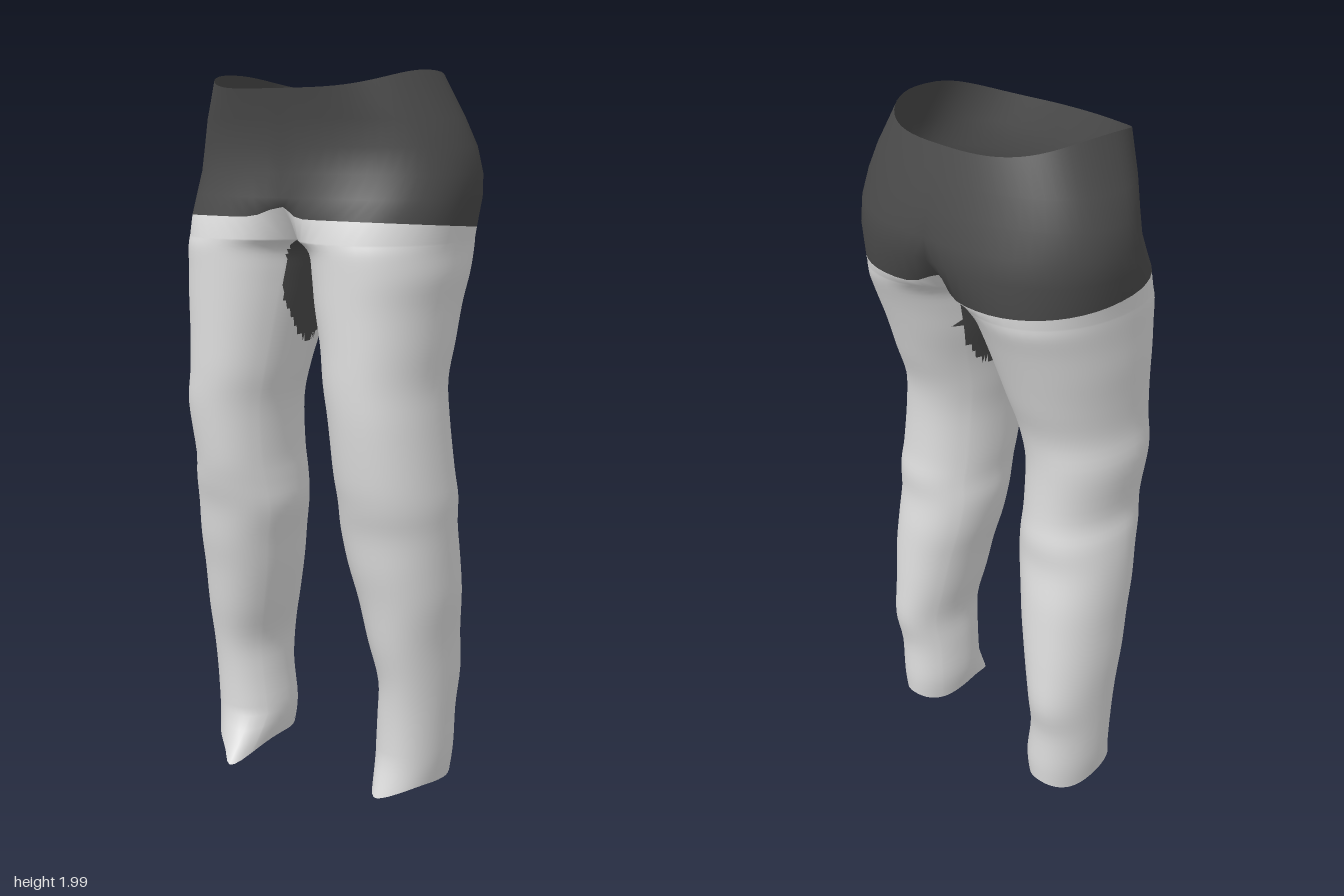
import * as THREE from 'three';
import { mergeVertices } from 'three/addons/utils/BufferGeometryUtils.js';

// Leg sections: y, then inner and outer x of the left leg, of the right leg, then front and back z
const LEG = [
  [0.055, 0.2, 0.37, 0.19, 0.375, 0.14, -0.135],
  [0.13, 0.19, 0.38, 0.18, 0.385, 0.13, -0.14],
  [0.25, 0.195, 0.385, 0.195, 0.39, 0.13, -0.14],
  [0.36, 0.2, 0.39, 0.2, 0.395, 0.14, -0.16],
  [0.48, 0.175, 0.395, 0.17, 0.4, 0.165, -0.155],
  [0.6, 0.15, 0.408, 0.14, 0.4, 0.185, -0.145],
  [0.7, 0.125, 0.41, 0.12, 0.4, 0.205, -0.135],
  [0.8, 0.11, 0.41, 0.097, 0.395, 0.22, -0.12],
  [0.88, 0.112, 0.412, 0.1, 0.385, 0.24, -0.12],
  [0.96, 0.107, 0.405, 0.105, 0.37, 0.255, -0.11],
  [1.1, 0.1, 0.39, 0.1, 0.385, 0.27, -0.105],
  [1.2, 0.085, 0.38, 0.08, 0.375, 0.275, -0.115],
  [1.3, 0.07, 0.385, 0.06, 0.38, 0.275, -0.15],
  [1.4, 0.045, 0.39, 0.04, 0.39, 0.275, -0.185],
  [1.48, 0.03, 0.4, 0.025, 0.395, 0.275, -0.215],
  [1.54, 0.015, 0.4, 0.01, 0.4, 0.275, -0.24],
];
const ROUND = 0.93; // squareness of the sections: 1 is an ellipse, less is boxier
// Hip sections: y, inner x (past the middle, cut off at x = 0), outer x, front z, back z, squareness
const HIP = [
  [1.57, -0.03, 0.402, 0.273, -0.25, ROUND],
  [1.61, -0.1, 0.407, 0.27, -0.262, ROUND],
  [1.68, -0.23, 0.42, 0.25, -0.28, ROUND],
  [1.74, -0.33, 0.422, 0.228, -0.278, ROUND],
  [1.81, -0.412, 0.412, 0.226, -0.262, ROUND],
  [1.88, -0.38, 0.38, 0.236, -0.24, 0.88],
  [1.955, -0.32, 0.32, 0.255, -0.21, 0.82],
];
const STEPS = 4;
const CROTCH = LEG.length * STEPS, WAIST = CROTCH + HIP.length - 1;
const round = (v) => Math.round(v * 1e5) / 1e5;

// Smooth curve from q to r, with neighbours p and s
function smooth(p, q, r, s, t) {
  const a = r - p;
  const b = 2 * p - 5 * q + 4 * r - s;
  const c = 3 * (q - r) + s - p;
  return q + 0.5 * t * (a + t * (b + t * c));
}

// Sections of one side, with the leg ones smoothly filled in between
function sideRows(side) {
  const leg = LEG.map(([y, li, lo, ri, ro, f, b]) =>
    (side > 0 ? [y, li, lo, f, b, ROUND] : [y, ri, ro, f, b, ROUND]));
  const keys = [...leg, HIP[0]];
  const rows = [];
  for (let i = 0; i < leg.length; i++) {
    const p = keys[Math.max(0, i - 1)], q = keys[i], r = keys[i + 1];
    const s = keys[Math.min(keys.length - 1, i + 2)];
    for (let n = 0; n < STEPS; n++) {
      rows.push(q.map((v, j) => smooth(p[j], v, r[j], s[j], n / STEPS)));
    }
  }
  return rows.concat(HIP);
}

// Angle at which a section meets the middle plane
function cutAngle([, inner, outer, , , power]) {
  const c = Math.max(0, (inner + outer) / (outer - inner));
  return Math.acos(c ** (1 / power));
}

function sectionPoint(rows, i, a, side) {
  const [y0, inner, outer, front, back, power] = rows[i];
  const spow = (v) => Math.sign(v) * Math.abs(v) ** power;
  const x = Math.max(0, (inner + outer) / 2 - ((outer - inner) / 2) * spow(Math.cos(a)));
  let z = (front + back) / 2 + ((front - back) / 2) * spow(Math.sin(a));
  let y = y0;
  const hem = Math.max(0, (0.13 - y0) / 0.075);
  if (hem > 0) { // hem with a pulled-out front corner
    const tip = side < 0
      ? Math.exp(-(((a - 0.9) / 0.6) ** 2))
      : Math.exp(-(((a - 1.15) / 0.5) ** 2));
    y += hem * (0.008 * Math.sin(3 * a) - tip * (side < 0 ? 0.05 : 0.022));
    z += hem * tip * (side < 0 ? 0.085 : 0.025);
  }
  if (i === CROTCH + 1) y += 0.07 * z + 0.03 * Math.exp(-((x / 0.05) ** 2)); // edge of the dark top
  if (i === WAIST) y += 0.045 * (x / 0.32) ** 4; // waist rises at the hips
  return [round(x * side), round(y), round(z)];
}

// Outline of the dark inner thigh patch, rounded off towards its lower end
function inPatch([a, b, c]) {
  const [x, y, z] = [0, 1, 2].map((j) => (a[j] + b[j] + c[j]) / 3);
  return Math.abs(x) < 0.09 && y < 1.57 && z > -0.105 && z < 0.155
    && y > 1.28 + 0.15 * ((z - 0.03) / 0.13) ** 2;
}

export function createModel() {
  const model = new THREE.Group();
  model.name = 'trousers';
  const dark = new THREE.MeshStandardMaterial({ color: 0x4a4a4a, side: THREE.DoubleSide });
  dark.name = 'dark grey';
  const light = new THREE.MeshStandardMaterial({ color: 0xdddddd, side: THREE.DoubleSide });
  light.name = 'light grey';

  const positions = [], tags = [];
  // One sheet of cloth between two angles, from row 0 up to row `top`
  function sheet(rows, side, top, columns, angle) {
    const prefix = side > 0 ? 'left' : 'right';
    const at = (i, k) => sectionPoint(rows, i, angle(i, k / columns), side);
    for (let i = 0; i < top; i++) {
      for (let k = 0; k < columns; k++) {
        const a = at(i, k), b = at(i, k + 1), c = at(i + 1, k + 1), d = at(i + 1, k);
        const faces = side > 0 ? [[a, b, c], [a, c, d]] : [[a, c, b], [a, d, c]];
        for (const face of faces) {
          positions.push(...face.flat());
          if (i > CROTCH) tags.push('hipSection');
          else tags.push(prefix + (inPatch(face) ? 'InnerThighPatch' : 'Leg'));
        }
      }
    }
  }

  for (const side of [1, -1]) {
    const rows = sideRows(side);
    const cut = (i) => cutAngle(rows[Math.max(i, CROTCH)]);
    // Outside of the leg and hip, front middle round to back middle
    sheet(rows, side, WAIST, 32, (i, t) => cut(i) + t * (2 * Math.PI - 2 * cut(i)));
    // Inside of the leg, up to the crotch seam
    sheet(rows, side, CROTCH, 24, (i, t) => cut(i) * (2 * t - 1));
  }

  // Weld everything so the shading runs smoothly over the seams
  let cloth = new THREE.BufferGeometry();
  cloth.setAttribute('position', new THREE.Float32BufferAttribute(positions, 3));
  cloth = mergeVertices(cloth, 1e-4);
  cloth.computeVertexNormals();

  // Split the welded cloth into its coloured parts
  for (const name of new Set(tags)) {
    const index = [];
    tags.forEach((tag, f) => {
      if (tag === name) for (let j = 0; j < 3; j++) index.push(cloth.index.getX(f * 3 + j));
    });
    const part = new THREE.BufferGeometry();
    part.setAttribute('position', cloth.attributes.position);
    part.setAttribute('normal', cloth.attributes.normal);
    part.setIndex(index);
    const mesh = new THREE.Mesh(part, name.endsWith('Leg') ? light : dark);
    mesh.name = name;
    model.add(mesh);
  }
  return model;
}
